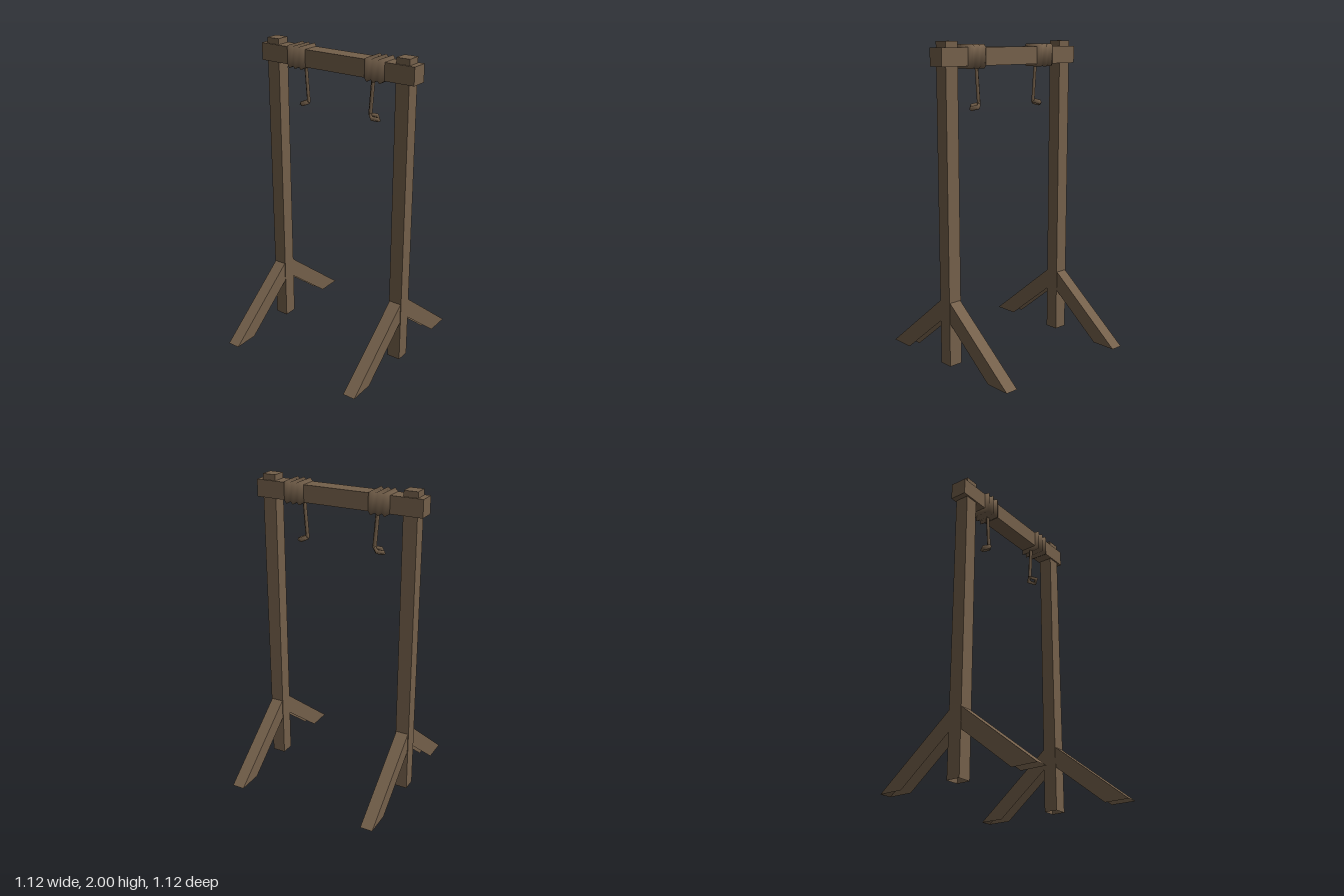
import * as THREE from 'three';

const wood = new THREE.MeshStandardMaterial({ color: 0x735f4a, side: THREE.DoubleSide });
wood.name = 'weathered wood';
const BEAM_Y = 1.908;

function add(parent, name, geometry, x = 0, y = 0, z = 0) {
  const mesh = new THREE.Mesh(geometry, wood);
  mesh.name = name;
  mesh.position.set(x, y, z);
  parent.add(mesh);
  return mesh;
}

// Box keeping only the listed faces (0 +x, 1 -x, 2 top, 3 bottom, 4 +z, 5 -z)
function openBox(width, height, depth, faces) {
  const geometry = new THREE.BoxGeometry(width, height, depth);
  const index = Array.from(geometry.index.array);
  geometry.setIndex(faces.flatMap((f) => index.slice(f * 6, f * 6 + 6)));
  geometry.clearGroups();
  return geometry;
}

// Slanted brace: two sides and a sloping top, open below, foot level with the ground
function braceGeometry() {
  const geometry = openBox(0.082, 1, 1, [0, 1, 2]);
  const p = geometry.attributes.position;
  for (let i = 0; i < p.count; i++) {
    const upper = p.getY(i) > 0;
    if (p.getZ(i) > 0) p.setXYZ(i, p.getX(i), 0, upper ? 0.56 : 0.395);
    else p.setXYZ(i, p.getX(i), upper ? 0.427 : 0.292, 0.03);
  }
  geometry.computeVertexNormals();
  return geometry;
}

// Rope wound three times round the square beam: squares lofted along x
function coilGeometry() {
  const profile = [[-0.07, 0.05], [-0.069, 0.057], [-0.044, 0.072], [-0.022, 0.06], [0, 0.072],
    [0.023, 0.06], [0.046, 0.072], [0.069, 0.057], [0.07, 0.05]];
  const section = [[1, -1], [1, 1], [-1, 1], [-1, -1]];
  const n = section.length, positions = [], indices = [];
  profile.forEach(([x, r], i) => {
    section.forEach(([y, z], j) => {
      positions.push(x, y * r, z * r);
      if (i === 0) return;
      const k = (j + 1) % n, a = (i - 1) * n, b = i * n;
      indices.push(a + j, a + k, b + j, a + k, b + k, b + j);
    });
  });
  const geometry = new THREE.BufferGeometry();
  geometry.setAttribute('position', new THREE.Float32BufferAttribute(positions, 3));
  geometry.setIndex(indices);
  geometry.computeVertexNormals();
  return geometry;
}

export function createModel() {
  const model = new THREE.Group();
  model.name = 'ropeFrame';

  add(model, 'crossbeam', new THREE.BoxGeometry(1.12, 0.11, 0.11), 0, BEAM_Y, 0);

  for (const side of [-1, 1]) {
    const label = side > 0 ? 'left' : 'right';

    // Upright, open at the bottom, with a brace in front and behind
    const x = side * 0.477;
    add(model, label + 'Post', openBox(0.09, 2, 0.09, [0, 1, 2, 4, 5]), x, 1, 0);
    add(model, label + 'FrontBrace', braceGeometry(), x);
    add(model, label + 'BackBrace', braceGeometry(), x).rotation.y = Math.PI;

    // Rope coil, hanging end and loop
    add(model, label + 'RopeCoil', coilGeometry(), side > 0 ? 0.293 : -0.283, BEAM_Y, 0);

    const top = new THREE.Vector3(side * 0.252, 1.86, 0);
    const bottom = new THREE.Vector3(side * 0.233, 1.615, 0);
    const rope = add(model, label + 'HangingRope',
      new THREE.CylinderGeometry(0.014, 0.014, top.distanceTo(bottom), 4));
    rope.position.copy(top).add(bottom).multiplyScalar(0.5);
    rope.quaternion.setFromUnitVectors(new THREE.Vector3(0, 1, 0), top.clone().sub(bottom).normalize());

    const ring = new THREE.TorusGeometry(0.033, 0.015, 4, 4).rotateX(Math.PI / 2);
    add(model, label + 'RopeLoop', ring, side * 0.264, 1.606, 0).rotation.z = -side * 0.37;
  }
  return model;
}
